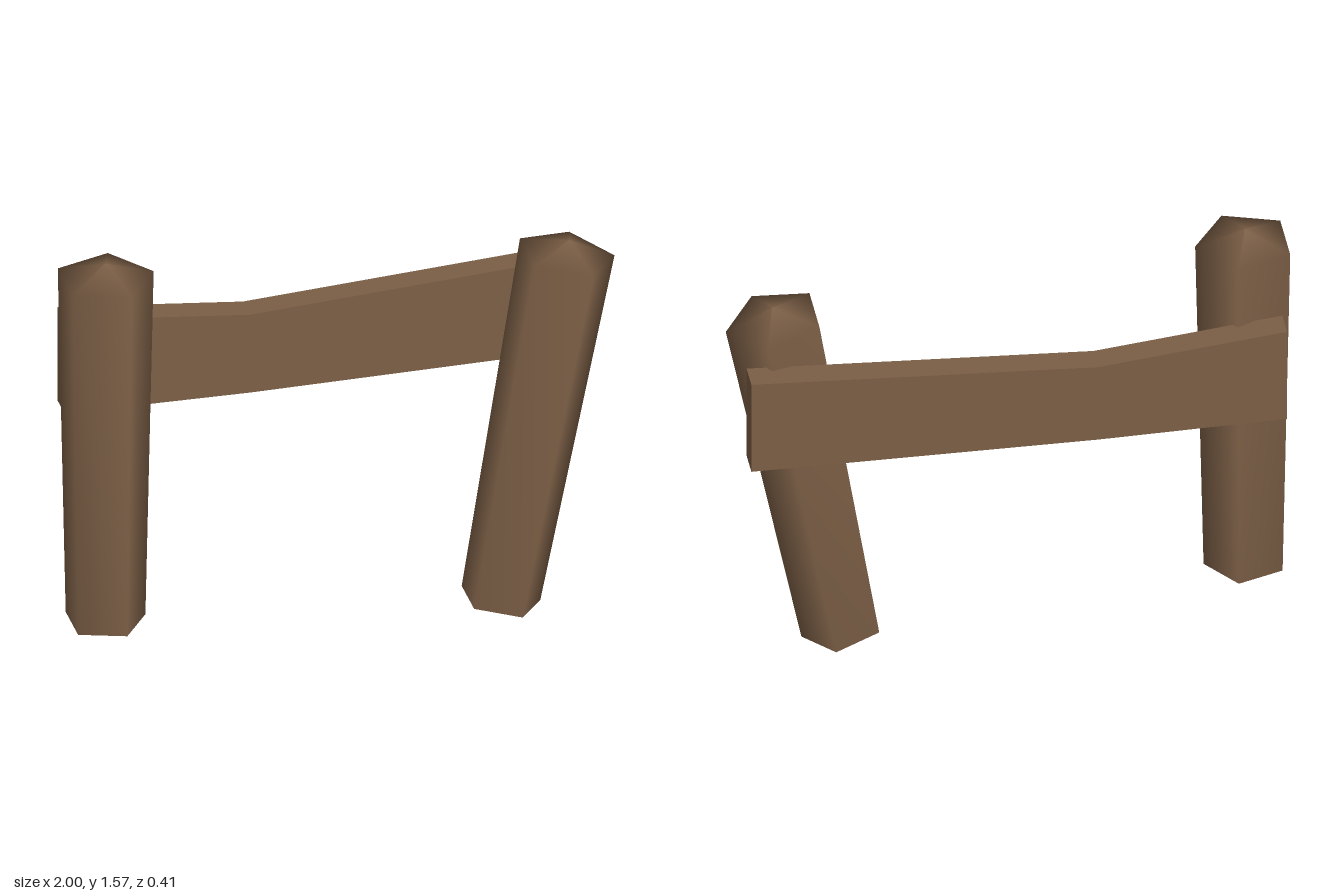
import * as THREE from 'three';
import { mergeGeometries } from 'three/addons/utils/BufferGeometryUtils.js';

const wood = new THREE.MeshStandardMaterial({ color: 0x7c5f46 });
wood.name = 'brown wood';

const SIDES = 5;
const HEIGHT = 1.375;
const BOTTOM_RADIUS = 0.148;

// Five-sided tapered post with a blunt point, one corner toward +x, base at the origin
function makePost(name, x, y, tilt) {
  const profile = [
    new THREE.Vector2(BOTTOM_RADIUS, 0),
    new THREE.Vector2(0.178, HEIGHT),
    new THREE.Vector2(0, HEIGHT + 0.055),
  ];
  const body = new THREE.LatheGeometry(profile, SIDES, Math.PI / 2);
  const base = new THREE.CircleGeometry(BOTTOM_RADIUS, SIDES).rotateX(Math.PI / 2);
  const post = new THREE.Mesh(mergeGeometries([body, base]), wood);
  post.name = name;
  post.position.set(x, y, 0.037);
  post.rotation.z = tilt;
  return post;
}

// Sagging plank across the back of the posts
function makeRail() {
  const outline = [
    [-0.965, 0.916], [-0.29, 0.907], [0.95, 0.916],
    [0.95, 1.292], [-0.29, 1.22], [-0.965, 1.292],
  ].map(([x, y]) => new THREE.Vector2(x, y));
  const geometry = new THREE.ExtrudeGeometry(new THREE.Shape(outline), { depth: 0.1, bevelEnabled: false });
  const rail = new THREE.Mesh(geometry, wood);
  rail.name = 'rail';
  rail.position.z = -0.206;
  return rail;
}

export function createModel() {
  const model = new THREE.Group();
  model.name = 'brokenFence';
  model.add(
    makePost('rightPost', -0.856, 0.15, 0),
    makePost('leftLeaningPost', 0.584, 0.034, -0.176),
    makeRail(),
  );
  return model;
}
